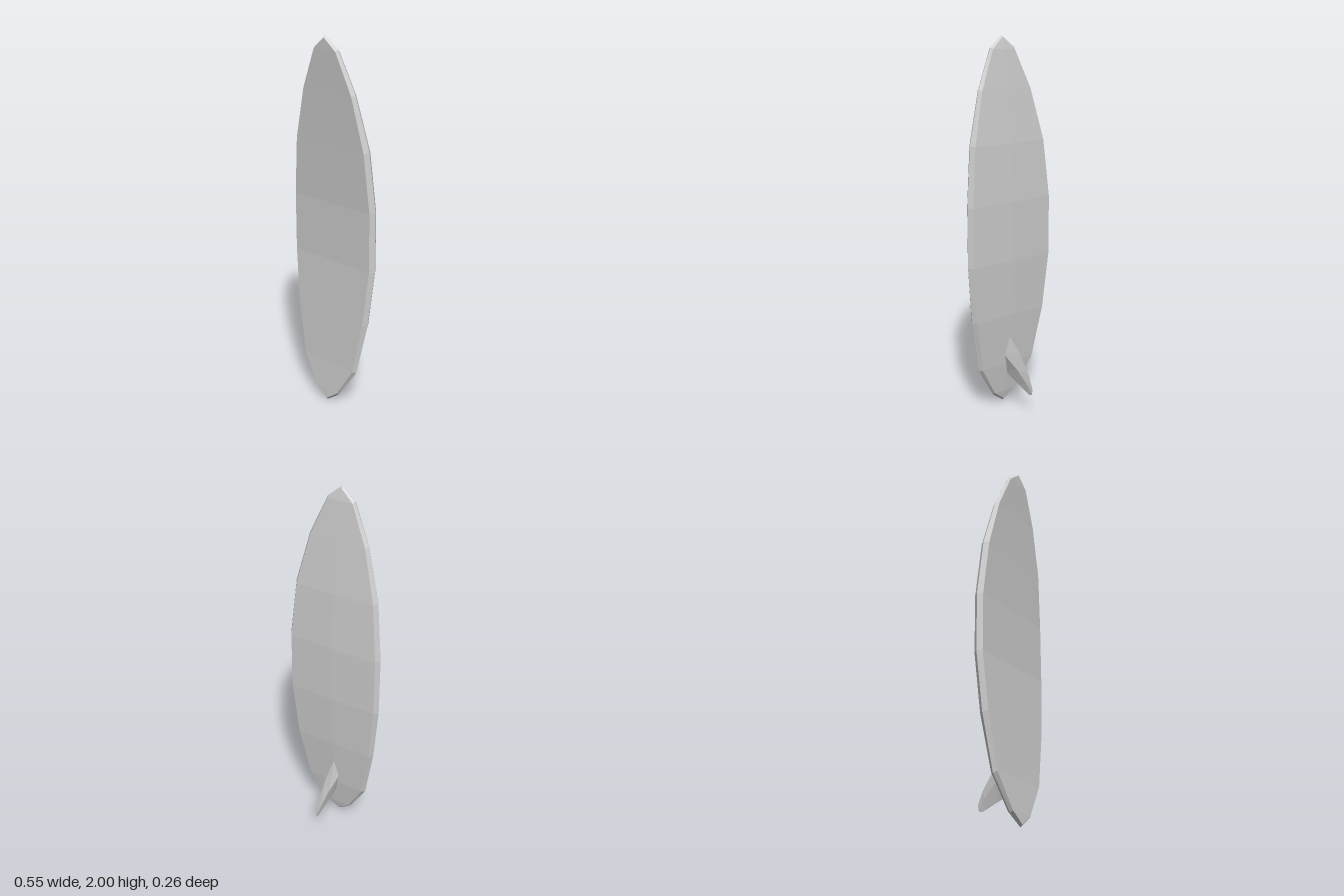
import * as THREE from 'three';

// Skins a list of closed point rings with flat facets, dropping collapsed triangles
function loft(rings) {
  const pos = [];
  const tri = (a, b, c) => {
    if (new THREE.Triangle(a, b, c).getArea() > 1e-8) {
      for (const p of [a, b, c]) pos.push(p.x, p.y, p.z);
    }
  };
  for (let i = 0; i < rings.length - 1; i++) {
    const r = rings[i], s = rings[i + 1], n = r.length;
    for (let j = 0; j < n; j++) {
      const k = (j + 1) % n;
      tri(r[j], r[k], s[j]);
      tri(r[k], s[k], s[j]);
    }
  }
  const g = new THREE.BufferGeometry();
  g.setAttribute('position', new THREE.Float32BufferAttribute(pos, 3));
  g.computeVertexNormals();
  return g;
}

const V = (x, y, z) => new THREE.Vector3(x, y, z);

export function createModel() {
  const group = new THREE.Group();
  group.name = 'surfboard';
  const grey = new THREE.MeshStandardMaterial({ color: 0xcccccc });
  grey.name = 'lightGrey';
  grey.flatShading = true;

  // Board stations, nose to tail: height, half width, back z, front z
  const stations = [
    [2.0, 0, 0.112, 0.133],
    [1.94, 0.076, 0.1, 0.13],
    [1.735, 0.17, 0.077, 0.115],
    [1.46, 0.243, 0.05, 0.1],
    [1.15, 0.275, 0.035, 0.086],
    [0.83, 0.275, 0.035, 0.086],
    [0.52, 0.243, 0.05, 0.1],
    [0.23, 0.185, 0.077, 0.115],
    [0.06, 0.076, 0.1, 0.13],
    [0.005, 0, 0.112, 0.133],
  ];
  const boardRings = stations.map(([y, w, back, front]) => {
    const ix = w * 0.935;                 // bevelled rail inset
    const iy = 1 + (y - 1) * 0.99;
    const mid = (back + front) / 2;
    const bulge = w * 0.018;              // slight crown on the underside
    return [
      V(0, iy, back - bulge), V(ix, iy, back), V(w, y, mid), V(ix, iy, front),
      V(0, iy, front), V(-ix, iy, front), V(-w, y, mid), V(-ix, iy, back),
    ];
  });
  const board = new THREE.Mesh(loft(boardRings), grey);
  board.name = 'board';
  group.add(board);

  // Fin sections, root to tip: leading y, z, trailing y, z, half thickness
  const sections = [
    [0.415, 0.075, 0.18, 0.09, 0.026],
    [0.32, -0.03, 0.145, -0.01, 0.0145],
    [0.22, -0.1, 0.118, -0.08, 0.006],
    [0.15, -0.132, 0.11, -0.105, 0.002],
    [0.118, -0.127, 0.118, -0.127, 0],
  ];
  const finRings = sections.map(([ly, lz, ty, tz, t]) => {
    const my = (ly + ty) / 2, mz = (lz + tz) / 2;
    return [V(0, ly, lz), V(t, my, mz), V(0, ty, tz), V(-t, my, mz)];
  });
  const fin = new THREE.Mesh(loft(finRings), grey);
  fin.name = 'fin';
  group.add(fin);

  return group;
}
